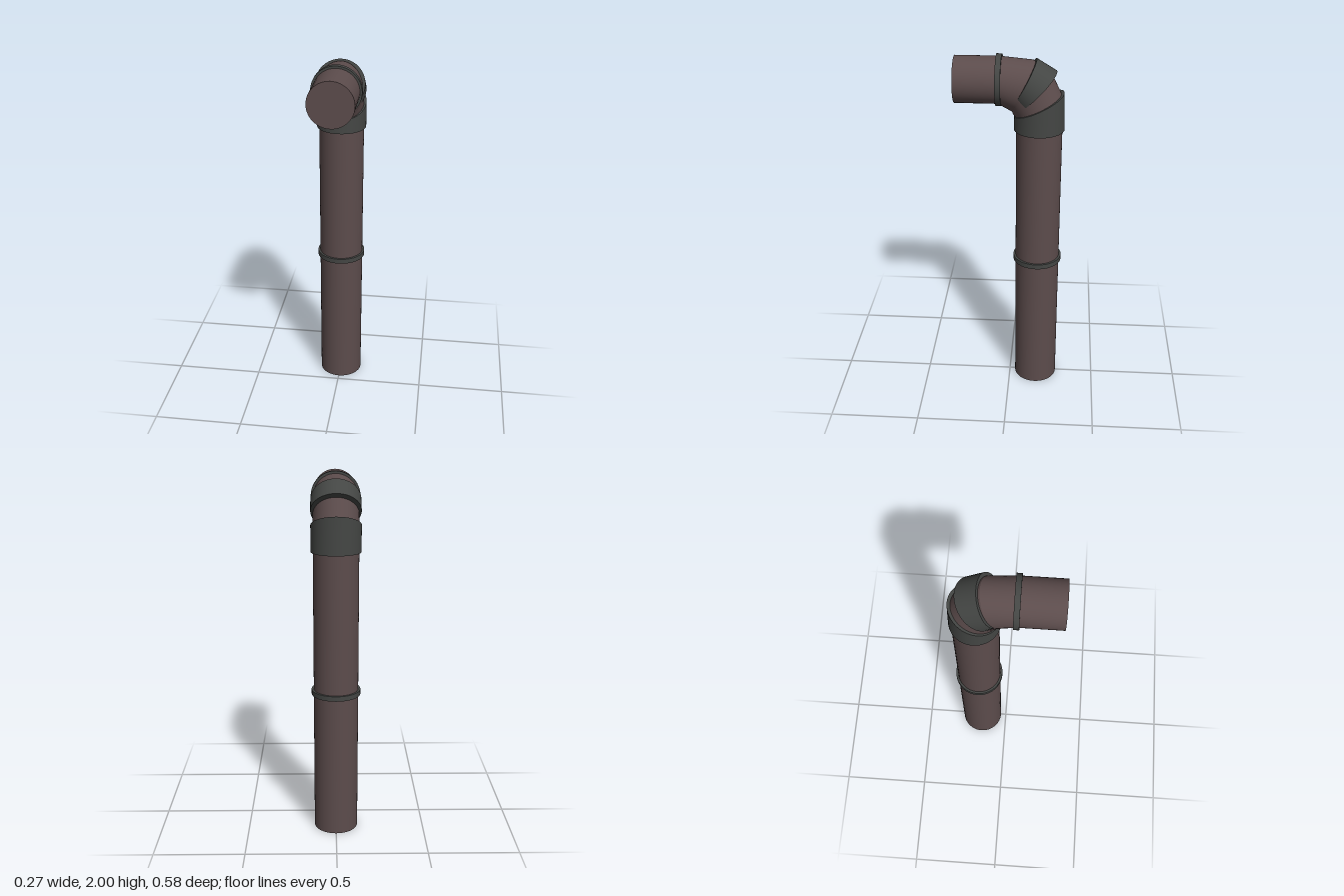
import * as THREE from 'three';

const SIDES = 48;
const brown = new THREE.MeshStandardMaterial({ color: 0x5c4c4c });
const dark = new THREE.MeshStandardMaterial({ color: 0x444644 });

// A ring spans an inner and an outer point given as [z, y]; w is its half width in x.
const ring = (inner, outer, w) => ({ inner, outer, w });
const flat = (y, r) => ring([-0.155 + r, y], [-0.155 - r, y], r);
const upright = (z, r) => ring([z, 1.865 - r], [z, 1.865 + r], r);

// Capped tube section between two rings, smooth around and sharp at the ends.
function section(a, b) {
  const pos = [], idx = [];
  const add = (r) => {
    const start = pos.length / 3;
    for (let j = 0; j < SIDES; j++) {
      const t = (j / SIDES) * Math.PI * 2;
      const s = (1 + Math.sin(t)) / 2;
      pos.push(r.w * Math.cos(t),
        THREE.MathUtils.lerp(r.inner[1], r.outer[1], s),
        THREE.MathUtils.lerp(r.inner[0], r.outer[0], s));
    }
    return start;
  };
  const lo = add(a), hi = add(b), capLo = add(a), capHi = add(b);
  for (let j = 0; j < SIDES; j++) {
    const k = (j + 1) % SIDES;
    idx.push(lo + j, lo + k, hi + k, lo + j, hi + k, hi + j);
    if (j > 0 && k > 0) {
      idx.push(capLo, capLo + k, capLo + j, capHi, capHi + j, capHi + k);
    }
  }
  const geo = new THREE.BufferGeometry();
  geo.setAttribute('position', new THREE.Float32BufferAttribute(pos, 3));
  geo.setIndex(idx);
  geo.computeVertexNormals();
  return geo;
}

export function createModel() {
  const group = new THREE.Group();
  const R = 0.123, C = 0.135;
  const part = (name, material, a, b) => {
    const mesh = new THREE.Mesh(section(a, b), material);
    mesh.name = name;
    group.add(mesh);
  };

  // Pipe run: upright length, mitred bend, short outlet
  const lowerMitre = ring([-0.032, 1.665], [-0.278, 1.775], R);
  const middleMitre = ring([-0.015, 1.685], [-0.215, 1.905], R);
  const upperMitre = ring([-0.01, 1.7], [-0.12, 1.972], R);
  part('lowerPipe', brown, flat(0, R), flat(0.82, R));
  part('upperPipe', brown, flat(0.82, R), flat(1.62, R));
  part('bendBase', brown, flat(1.62, R), lowerMitre);
  part('bendMiddle', brown, lowerMitre, middleMitre);
  part('bendCore', brown, middleMitre, upperMitre);
  part('bendTop', brown, upperMitre, upright(0.06, R));
  part('outletPipe', brown, upright(0.06, R), upright(0.29, R));

  // Dark joint bands
  part('pipeCollar', dark, flat(0.805, C), flat(0.833, C));
  part('lowerBendBand', dark, flat(1.6, C),
    ring([-0.022, 1.675], [-0.284, 1.803], C));
  part('upperBendBand', dark, ring([-0.035, 1.705], [-0.243, 1.915], C),
    ring([-0.012, 1.742], [-0.138, 1.979], C));
  part('outletCollar', dark, upright(0.043, C), upright(0.072, C));

  return group;
}
